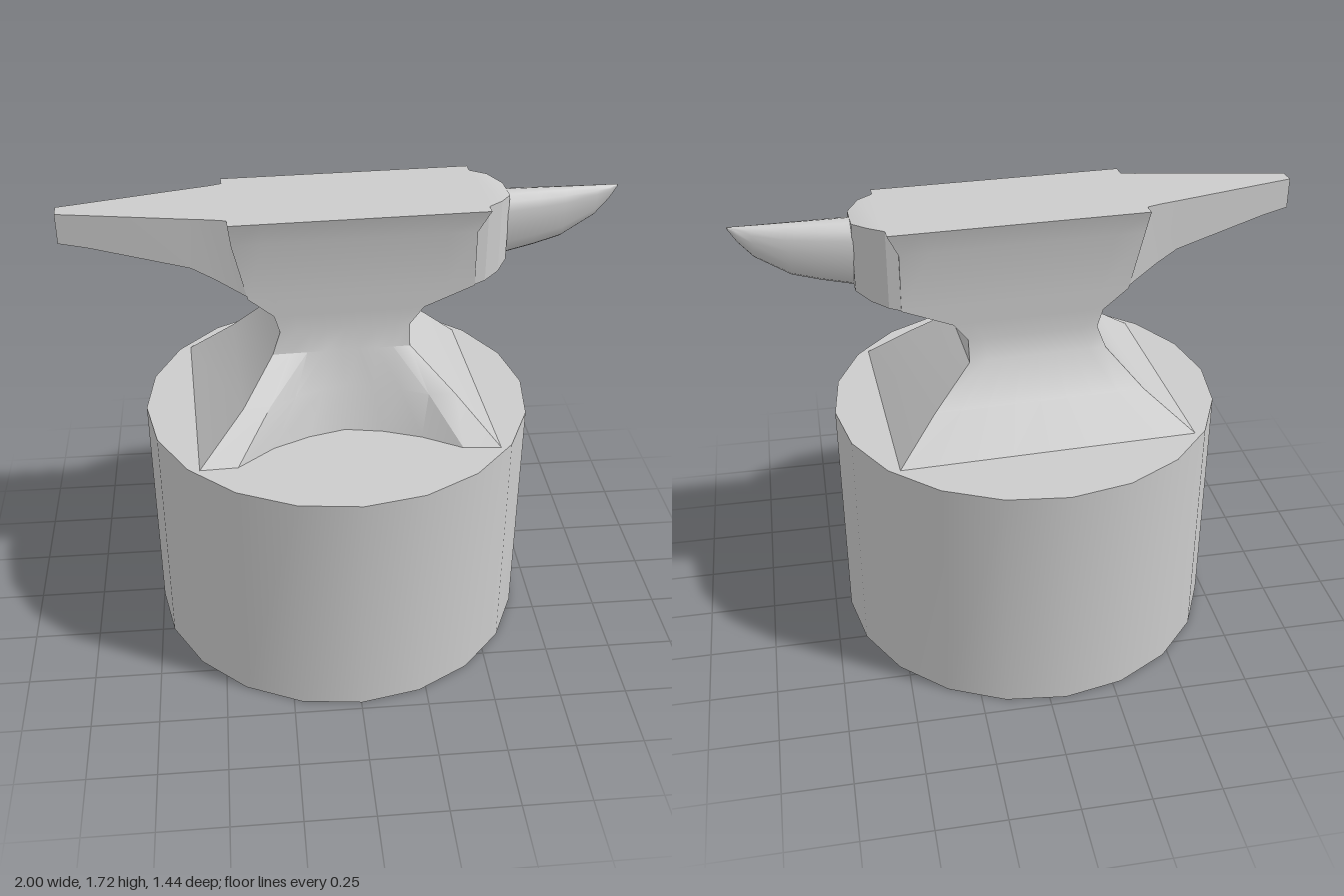
import * as THREE from 'three';
import { toCreasedNormals } from 'three/addons/utils/BufferGeometryUtils.js';

const material = new THREE.MeshStandardMaterial({ color: 0xcccccc });
const TOP = 1.715; // working face height
const MID = -0.04; // z of the anvil's centre line

// Skin a list of equal-length rings and close both ends
function loft(name, rings, crease = 0.5) {
  const n = rings[0].length;
  const pos = rings.flat(2);
  const index = [];
  for (let i = 0; i < rings.length - 1; i++) {
    for (let j = 0; j < n; j++) {
      const k = (j + 1) % n;
      const a = i * n + j, b = i * n + k, c = b + n, d = a + n;
      index.push(a, b, c, a, c, d);
    }
  }
  const last = (rings.length - 1) * n;
  for (let j = 1; j < n - 1; j++) {
    index.push(0, j + 1, j, last, last + j, last + j + 1);
  }
  const geo = new THREE.BufferGeometry();
  geo.setAttribute('position', new THREE.Float32BufferAttribute(pos, 3));
  geo.setIndex(index);
  const mesh = new THREE.Mesh(toCreasedNormals(geo, crease), material);
  mesh.name = name;
  return mesh;
}

// Rectangular section across x
const slab = (x, bottom, half, top = TOP) => [
  [x, bottom, MID - half], [x, top, MID - half],
  [x, top, MID + half], [x, bottom, MID + half],
];

// Egg-shaped horn section across x, fuller near the top
function hornRing(x, bottom, half) {
  const top = 1.705, h = top - bottom, cy = top - h * 0.32;
  return Array.from({ length: 14 }, (_, i) => {
    const t = (i / 14) * Math.PI * 2;
    const c = Math.cos(t);
    return [x, cy + c * h * (c > 0 ? 0.32 : 0.68), MID + Math.sin(t) * half + 0.01 * (x - 0.58) / 0.42];
  });
}

// Horizontal body section; the front edge is hollowed by an arch of given depth
function bodyRing([y, x0, x1, half, cz, arch]) {
  const steps = 8, ring = [];
  const hollow = [0, 0, 0.54, 0.84, 1, 0.84, 0.54, 0.08, 0];
  for (let i = 0; i <= steps; i++) {
    ring.push([x0 + (x1 - x0) * i / steps, y, cz + half - arch * hollow[i]]);
  }
  for (let i = steps; i >= 0; i--) {
    ring.push([x0 + (x1 - x0) * i / steps, y, cz - half]);
  }
  return ring;
}

export function createModel() {
  const model = new THREE.Group();
  model.name = 'anvilOnStump';

  // Wooden stump
  const stump = new THREE.Mesh(
    toCreasedNormals(new THREE.CylinderGeometry(0.72, 0.72, 0.915, 20), 0.6), material);
  stump.name = 'stump';
  stump.position.set(-0.03, 0.4575, 0);
  stump.rotation.y = 0.045;
  model.add(stump);

  // The anvil sits slightly turned on the stump
  const anvil = new THREE.Group();
  anvil.name = 'anvil';
  anvil.rotation.y = 0.045;
  model.add(anvil);

  // Spread feet, waist and block: y, left x, right x, half depth, z centre, arch depth
  anvil.add(loft('body', [
    [0.915, -0.57, 0.51, 0.435, 0, 0.19],
    [1.065, -0.4, 0.365, 0.31, -0.02, 0.1],
    [1.2, -0.28, 0.22, 0.195, MID, 0],
    [1.28, -0.25, 0.22, 0.178, MID, 0],
    [1.345, -0.27, 0.27, 0.178, MID, 0],
    [1.42, -0.36, 0.45, 0.18, MID, 0],
    [1.63, -0.41, 0.45, 0.183, MID, 0],
    [TOP, -0.42, 0.49, 0.207, MID, 0],
  ].map(bodyRing)));

  // Tapering heel
  anvil.add(loft('heel', [
    slab(-1, 1.605, 0.03),
    slab(-0.9, 1.593, 0.052),
    slab(-0.55, 1.53, 0.13),
    slab(-0.47, 1.49, 0.147),
    slab(-0.36, 1.43, 0.18),
  ]));

  // Shoulder narrowing from the block to the horn
  anvil.add(loft('shoulder', [
    slab(0.44, 1.42, 0.18),
    slab(0.49, 1.43, 0.165),
    slab(0.545, 1.443, 0.125),
    slab(0.59, 1.455, 0.056, 1.705),
  ], 0.3));

  // Horn
  anvil.add(loft('horn', [
    [0.55, 1.447, 0.064],
    [0.59, 1.455, 0.062],
    [0.7, 1.482, 0.053],
    [0.8, 1.512, 0.042],
    [0.92, 1.59, 0.024],
    [0.97, 1.65, 0.013],
    [1, 1.7, 0.003],
  ].map((r) => hornRing(...r)), 0.9));

  return model;
}
